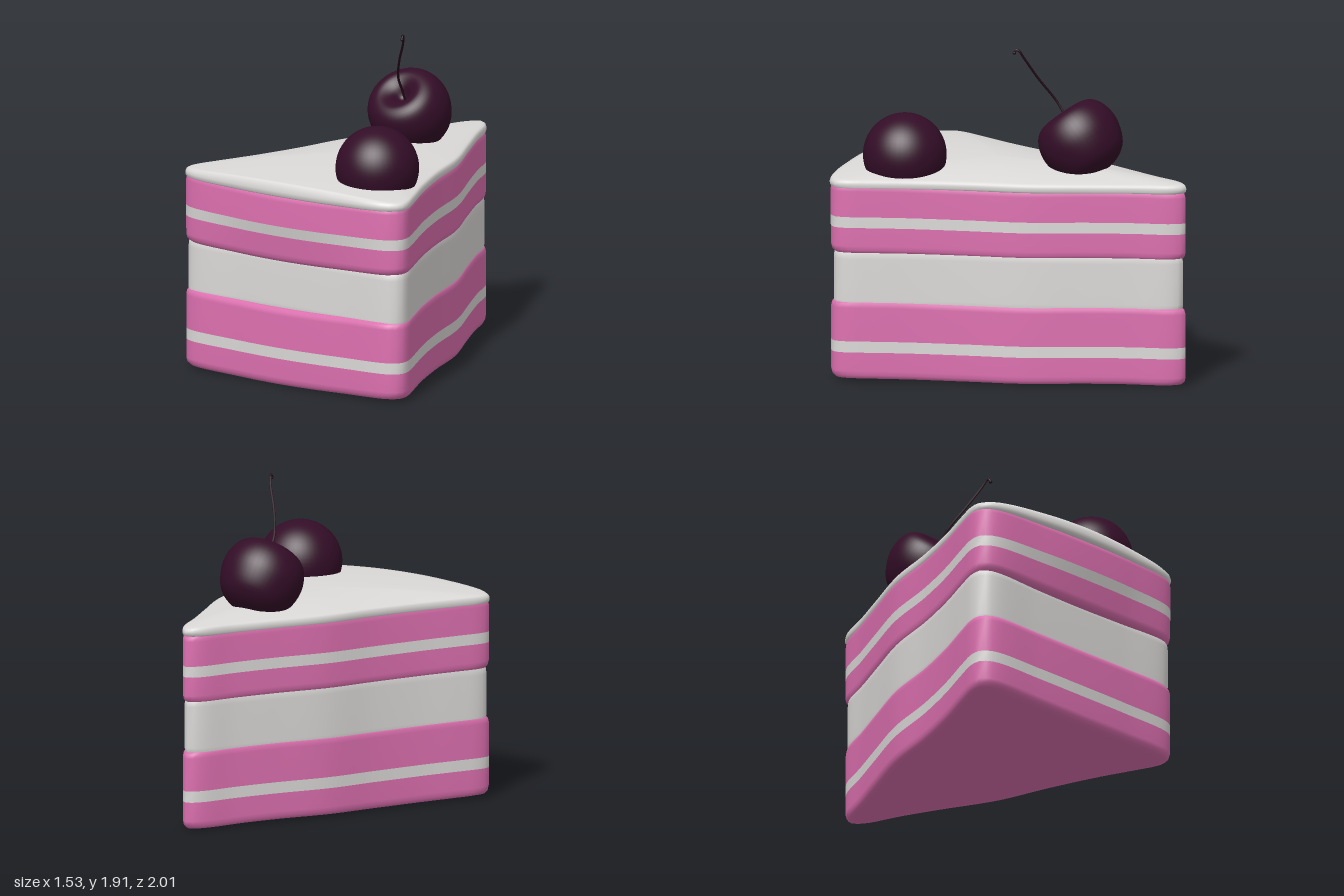
import * as THREE from 'three';

const material = (name, color) => {
  const m = new THREE.MeshStandardMaterial({ color });
  m.name = name;
  return m;
};

// Wedge outline seen from above: right half, mirrored to the left
const half = [[0.06, -0.95], [0.15, -0.74], [0.26, -0.5], [0.4, -0.19], [0.495, 0.14],
  [0.6, 0.43], [0.7, 0.66], [0.755, 0.8], [0.757, 0.87], [0.7, 0.917], [0.35, 0.928]];
const outlinePoints = [[0, -1], ...half, [0, 0.93],
  ...half.slice().reverse().map(([x, z]) => [-x, z])];
const N = 144;
const outline = new THREE.CatmullRomCurve3(
  outlinePoints.map(([x, z]) => new THREE.Vector3(x, 0, z)), true, 'centripetal'
).getSpacedPoints(N).slice(0, N);
const CENTRE_Z = 0.2;

// Loft of wedge rings from bottom to top.
// Ring: [height, scale, bulge of the front face, waviness, ridge towards the front]
function wedge(name, mat, rings) {
  const pos = [], index = [];
  rings.forEach(([y, s, bulge = 0, wave = 0, ridge = 0]) => {
    for (const p of outline) {
      const middle = Math.max(0, 1 - (p.x / 0.75) ** 2);
      const front = THREE.MathUtils.smoothstep(p.z, 0.82, 0.92) * middle;
      const x = p.x * s;
      const z = CENTRE_Z + (p.z + bulge * front - CENTRE_Z) * s;
      const wobble = wave * Math.sin(4 * x + 1.8) * Math.cos(3.2 * z + 0.8);
      pos.push(x, Math.max(0, y + wobble + ridge * front), z);
    }
  });
  for (let r = 0; r < rings.length - 1; r++) {
    for (let i = 0; i < N; i++) {
      const j = (i + 1) % N, a = r * N, b = a + N;
      index.push(a + i, b + i, a + j, a + j, b + i, b + j);
    }
  }
  const g = new THREE.BufferGeometry();
  g.setAttribute('position', new THREE.Float32BufferAttribute(pos, 3));
  g.setIndex(index);
  g.computeVertexNormals();
  const mesh = new THREE.Mesh(g, mat);
  mesh.name = name;
  return mesh;
}

// Sponge layer with rounded edges and a cream stripe around its side
function sponge(name, pink, cream, y0, y1, s0, s1, bulge0, bulge1) {
  const group = new THREE.Group();
  group.name = name;
  const low = [s0, 1, (bulge0 + bulge1) / 2, 0.006];
  const high = [s1, 1, bulge1, 0.006];
  group.add(
    wedge('lowerSponge', pink, [
      [y0, 0, 0, 0.008], [y0, 0.93, bulge0, 0.008], [y0 + 0.006, 0.975, bulge0, 0.008],
      [y0 + 0.025, 0.994, bulge0, 0.008], [y0 + 0.05, 1, bulge0, 0.008], low]),
    wedge('creamStripe', cream, [low, high]),
    wedge('upperSponge', pink, [
      high, [y1 - 0.04, 1, bulge1, 0.009], [y1 - 0.017, 0.994, bulge1, 0.009],
      [y1 - 0.003, 0.98, bulge1, 0.009], [y1, 0.95, bulge1, 0.009], [y1, 0, 0, 0.009]])
  );
  return group;
}

export function createModel() {
  const cake = new THREE.Group();
  cake.name = 'cakeSlice';
  const pink = material('pinkSponge', 0xdd70b0);
  const cream = material('cream', 0xdcdad8);
  const cherryRed = material('darkCherry', 0x330d27);
  const stemBrown = material('stem', 0x210a16);

  // Two sponge layers with cream between them
  cake.add(sponge('bottomSponge', pink, cream, 0.01, 0.468, 0.17, 0.235, 0.02, 0.025));
  cake.add(wedge('creamFilling', cream, [
    [0.43, 0.97], [0.45, 0.983], [0.48, 0.987], [0.72, 0.987], [0.75, 0.983], [0.77, 0.97]]));
  cake.add(sponge('topSponge', pink, cream, 0.742, 1.15, 0.9, 0.963, 0.03, 0.06));

  // Domed icing with a rounded rim
  const dome = [0.985, 0.96, 0.92, 0.85, 0.75, 0.6, 0.45, 0.3, 0.15, 0];
  cake.add(wedge('icing', cream, [
    [1.128, 0.96, 0.06], [1.133, 0.99, 0.065], [1.143, 1.002, 0.07],
    [1.16, 1.004, 0.07, 0, 0.008], [1.174, 0.998, 0.07, 0, 0.018],
    ...dome.map((t) => [1.181 + 0.062 * (1 - t * t), t, 0.07, 0, 0.035 * t * t])]));

  // Tilted cherry with a dimple
  const profile = new THREE.SplineCurve([[0, -0.215], [0.1, -0.205], [0.19, -0.145], [0.236, -0.03],
    [0.234, 0.07], [0.195, 0.15], [0.13, 0.182], [0.065, 0.155], [0.025, 0.11], [0, 0.1]]
    .map(([x, y]) => new THREE.Vector2(x, y))).getPoints(40);
  profile.forEach((p) => { p.x = Math.max(0, p.x); });
  const cherry = new THREE.Mesh(new THREE.LatheGeometry(profile, 48), cherryRed);
  cherry.name = 'stemmedCherry';
  cherry.position.set(-0.025, 1.375, -0.32);
  cherry.rotation.x = 0.68;
  cake.add(cherry);

  // Plain cherry near the front corner
  const round = new THREE.Mesh(new THREE.SphereGeometry(0.24, 48, 32), cherryRed);
  round.name = 'roundCherry';
  round.position.set(0.395, 1.288, 0.6);
  cake.add(round);

  // Thin bent stem with a small hook
  const path = new THREE.CatmullRomCurve3([[-0.012, 1.43, -0.26], [-0.012, 1.51, -0.225],
    [-0.003, 1.6, -0.17], [0.06, 1.73, -0.09], [0.125, 1.85, -0.035], [0.148, 1.905, -0.005],
    [0.152, 1.908, 0.01], [0.156, 1.89, 0.018]].map((p) => new THREE.Vector3(...p)));
  const stem = new THREE.Mesh(new THREE.TubeGeometry(path, 48, 0.007, 8), stemBrown);
  stem.name = 'cherryStem';
  const tip = new THREE.Mesh(new THREE.SphereGeometry(0.01, 10, 8), stemBrown);
  tip.name = 'stemTip';
  tip.position.copy(path.getPoint(1));
  cake.add(stem, tip);

  return cake;
}
